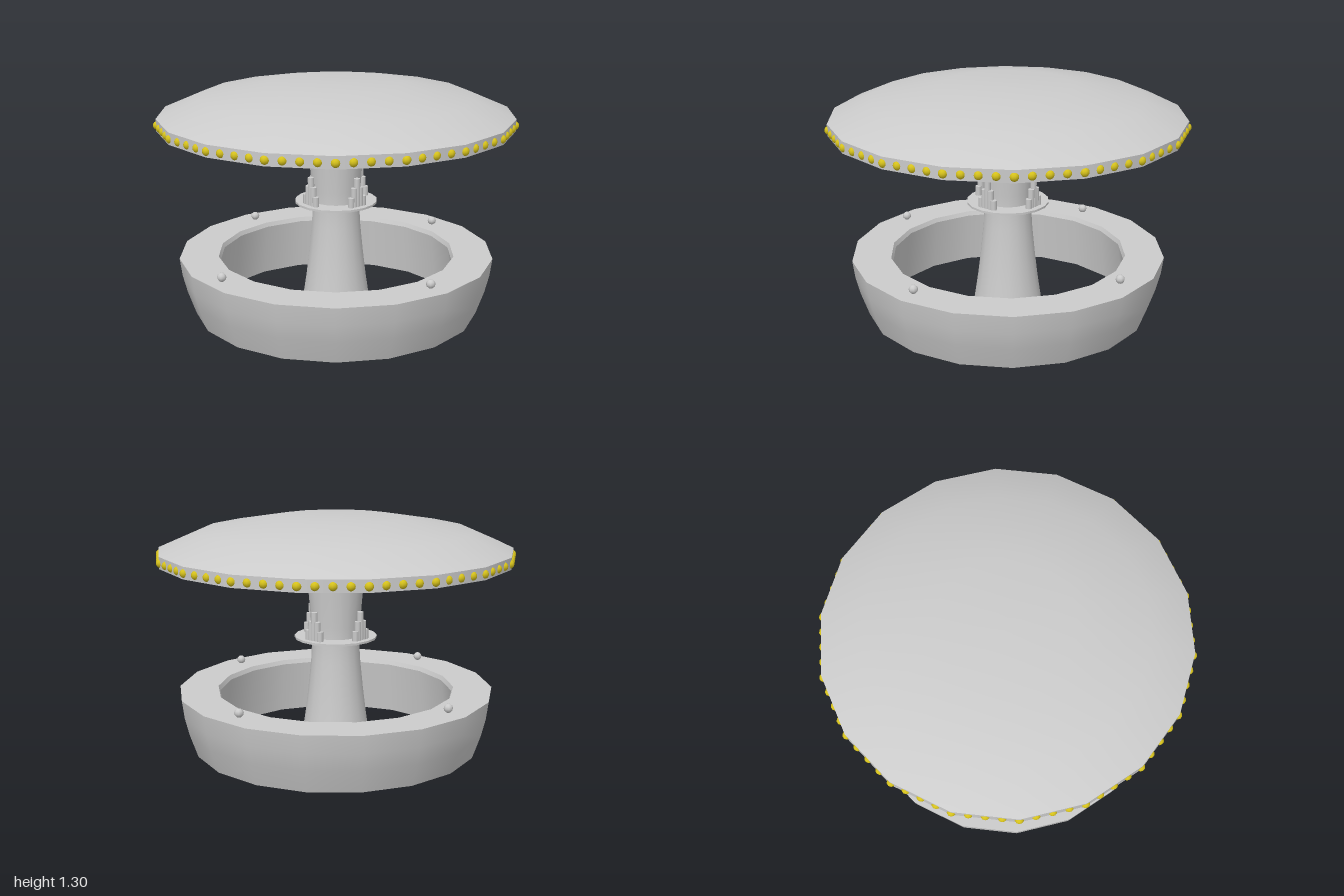
import * as THREE from 'three';
import { mergeGeometries } from 'three/addons/utils/BufferGeometryUtils.js';

const SIDES = 18;
const grey = new THREE.MeshStandardMaterial({ color: 0xcccccc });
const yellow = new THREE.MeshStandardMaterial({ color: 0xd6c21c });

function add(parent, name, geometry, material = grey) {
  const mesh = new THREE.Mesh(geometry, material);
  mesh.name = name;
  parent.add(mesh);
  return mesh;
}

// Each section is a smooth [radius, height] profile; edges between sections stay sharp.
function turned(...sections) {
  return mergeGeometries(sections.map(s =>
    new THREE.LatheGeometry(s.map(p => new THREE.Vector2(...p)), SIDES)));
}

export function createModel() {
  const model = new THREE.Group();
  model.name = 'carousel';

  // Open ring at the bottom
  add(model, 'baseRing', turned(
    [[0.70, 0], [0.805, 0]],
    [[0.805, 0], [0.85, 0.13], [0.875, 0.23], [0.888, 0.33]],
    [[0.888, 0.33], [0.67, 0.33]],
    [[0.67, 0.33], [0.66, 0.305]],
    [[0.66, 0.305], [0.70, 0]]));

  // Waisted column
  add(model, 'column', turned(
    [[0, 0], [0.2, 0]],
    [[0.2, 0], [0.173, 0.18], [0.155, 0.33], [0.138, 0.5], [0.133, 0.62],
      [0.138, 0.7], [0.147, 0.82], [0.156, 0.92]]));

  // Canopy with flared neck, upright rim and shallow dome
  const rimRadius = 0.985;
  add(model, 'canopy', turned(
    [[0.15, 0.92], [0.3, 1.028]],
    [[0.3, 1.028], [rimRadius, 1.065]],
    [[rimRadius, 1.065], [rimRadius, 1.13]],
    [[rimRadius, 1.13], [0.755, 1.23], [0.367, 1.298], [0, 1.3]]));

  // Four bulbs along each straight side of the rim
  const bulbs = new THREE.Group();
  bulbs.name = 'rimBulbs';
  model.add(bulbs);
  const bulbGeometry = new THREE.SphereGeometry(0.024, 10, 8);
  const corner = i => {
    const a = i / SIDES * Math.PI * 2;
    return new THREE.Vector3(Math.sin(a), 0, Math.cos(a)).multiplyScalar(rimRadius - 0.009);
  };
  for (let i = 0; i < SIDES; i++) {
    for (let j = 0; j < 4; j++) {
      const bulb = add(bulbs, 'bulb', bulbGeometry, yellow);
      bulb.position.lerpVectors(corner(i), corner(i + 1), j / 4).setY(1.095);
    }
  }

  // Thin platform around the waist
  const platform = add(model, 'platform', new THREE.CylinderGeometry(0.232, 0.232, 0.012, SIDES));
  platform.position.y = 0.627;

  // Four rows of stepped pipes on the platform, and four knobs on the ring
  const knobGeometry = new THREE.SphereGeometry(0.025, 8, 6);
  for (let k = 0; k < 4; k++) {
    const a = k * Math.PI / 2;
    const row = new THREE.Group();
    row.name = 'pipeRow';
    row.rotation.y = a;
    model.add(row);
    for (let i = -2; i <= 2; i++) {
      const height = 0.158 - 0.052 * Math.abs(i);
      const pipe = add(row, 'pipe', new THREE.CylinderGeometry(0.018, 0.018, height, 8));
      pipe.position.set(i * 0.021, 0.633 + height / 2, 0.18);
    }
    const knob = add(model, 'ringKnob', knobGeometry);
    knob.position.set(0.776 * Math.sin(a) - 0.012, 0.353, 0.776 * Math.cos(a) + 0.004);
  }
  return model;
}
